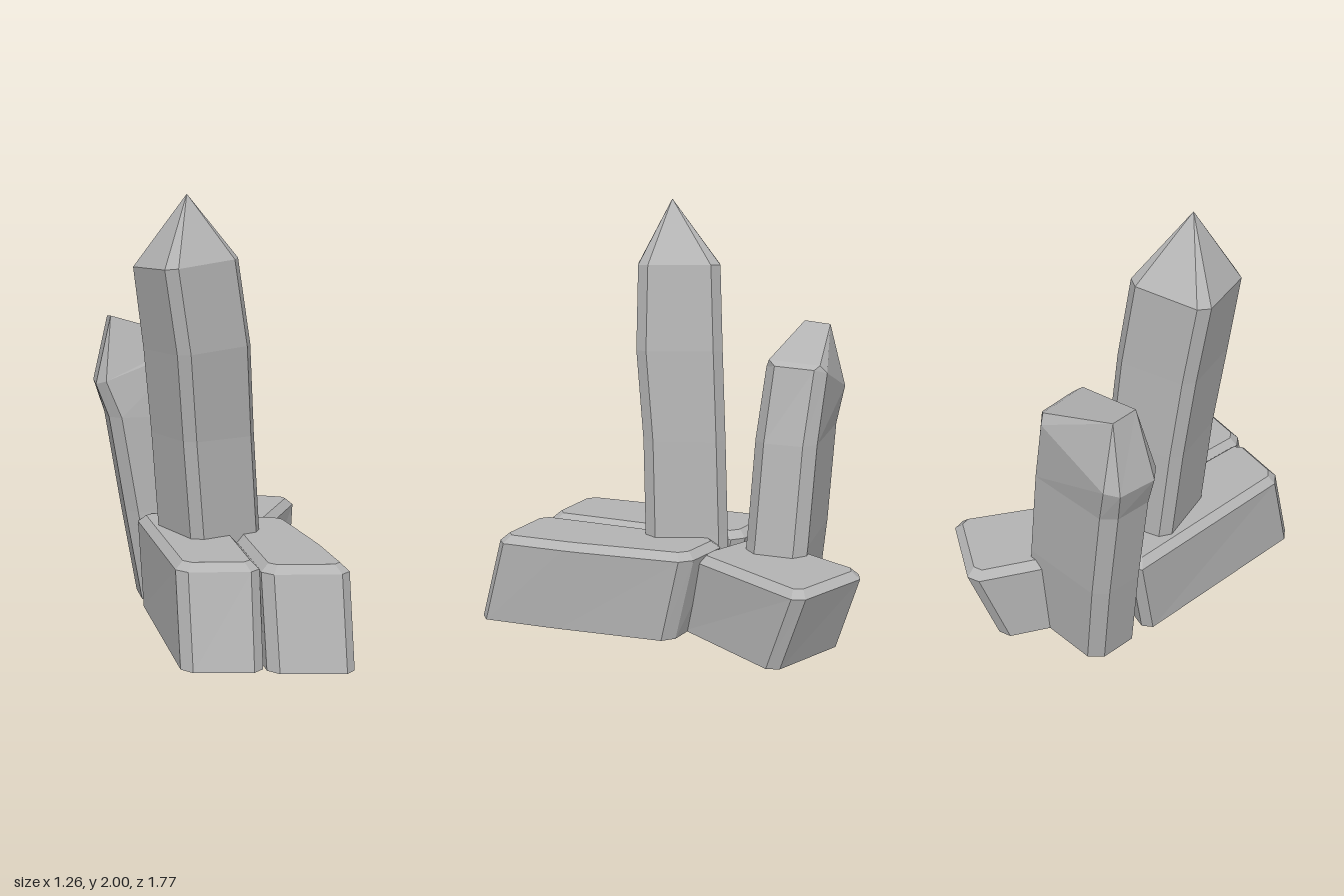
import * as THREE from 'three';

// Cut each corner of a ring of 3D points into two points, c away from the corner
function bevelRing(corners, c) {
  const pts = corners.map((p) => new THREE.Vector3(...p));
  const n = pts.length;
  const toward = (a, b) => {
    const len = a.distanceTo(b);
    return a.clone().lerp(b, len > 0 ? Math.min(c / len, 0.45) : 0);
  };
  return pts.flatMap((p, i) => [toward(p, pts[(i + n - 1) % n]), toward(p, pts[(i + 1) % n])]);
}

// Closed, faceted solid through rings from bottom to top (anticlockwise from above)
function loft(rings) {
  const pos = [];
  const tri = (a, b, c) => {
    const area = b.clone().sub(a).cross(c.clone().sub(a)).length();
    if (area > 1e-7) for (const p of [a, b, c]) pos.push(p.x, p.y, p.z);
  };
  const n = rings[0].length;
  const centre = (ring) => ring.reduce((s, p) => s.add(p), new THREE.Vector3()).divideScalar(n);
  const first = rings[0];
  const last = rings[rings.length - 1];
  const bottom = centre(first);
  const top = centre(last);
  for (let i = 0; i < n; i++) {
    const j = (i + 1) % n;
    for (let k = 0; k < rings.length - 1; k++) {
      const lo = rings[k];
      const hi = rings[k + 1];
      tri(lo[i], lo[j], hi[j]);
      tri(lo[i], hi[j], hi[i]);
    }
    tri(bottom, first[j], first[i]);
    tri(top, last[i], last[j]);
  }
  const geo = new THREE.BufferGeometry();
  geo.setAttribute('position', new THREE.Float32BufferAttribute(pos, 3));
  geo.computeVertexNormals();
  return geo;
}

const atHeight = (plan, y) => plan.map(([x, z]) => [x, y, z]);

// Pull a plan inward along the bisector of its neighbouring edges
function inset(plan, d) {
  const n = plan.length;
  return plan.map((p, i) => {
    const dir = (a, b) => new THREE.Vector2(b[0] - a[0], b[1] - a[1]).normalize();
    const e = dir(plan[(i + n - 1) % n], p);
    const f = dir(p, plan[(i + 1) % n]);
    const m = new THREE.Vector2(e.y + f.y, -e.x - f.x);
    m.multiplyScalar((2 * d) / m.lengthSq());
    return [p[0] + m.x, p[1] + m.y];
  });
}

// Leaning slab with bevelled upright and top edges
function slab(base, shoulder, height, bevel) {
  return loft([
    bevelRing(atHeight(base, 0), bevel),
    bevelRing(atHeight(shoulder, height - 0.035), bevel),
    bevelRing(atHeight(inset(shoulder, 0.035), height), bevel * 0.7),
  ]);
}

export function createModel() {
  const model = new THREE.Group();
  const stone = new THREE.MeshStandardMaterial({ color: 0xb4b4b4, flatShading: true });
  stone.name = 'grey crystal';
  const add = (name, geo) => {
    const mesh = new THREE.Mesh(geo, stone);
    mesh.name = name;
    model.add(mesh);
  };

  // Tall pointed crystal: each row is y, left, right, back, front, tilt of the shoulder
  const tall = [
    [0, -0.29, 0.07, -0.31, 0.09, 0],
    [0.45, -0.35, 0.025, -0.3, 0.1, 0],
    [0.9, -0.39, -0.01, -0.285, 0.11, 0],
    [1.31, -0.435, -0.05, -0.268, 0.143, 0.015],
    [1.695, -0.49, -0.11, -0.255, 0.135, 0.022],
  ].map(([y, l, r, b, f, t]) =>
    bevelRing([[l, y - t, f], [r, y + t, f - 0.01], [r, y + t, b], [l, y - t, b]], 0.045));
  tall.push(bevelRing(Array(4).fill([-0.31, 2, -0.03]), 0));
  add('tallCrystal', loft(tall));

  // Shorter crystal behind, leaning back, with a slanted chisel top
  const plan = [[-0.37, -0.54], [0.125, -0.37], [0.215, -0.65], [-0.28, -0.81]];
  const shifted = (dx, dz) => plan.map(([x, z]) => [x + dx, z + dz]);
  add('backCrystal', loft([
    bevelRing(atHeight(shifted(0.06, 0.05), 0), 0.055),
    bevelRing(atHeight(plan, 0.45), 0.055),
    bevelRing(atHeight(shifted(-0.065, -0.035), 0.92), 0.055),
    bevelRing([[-0.485, 1.08, -0.62], [0.005, 1.275, -0.455], [0.075, 1.26, -0.73], [-0.38, 1.08, -0.885]], 0.05),
    bevelRing([[-0.38, 1.41, -0.67], [-0.02, 1.295, -0.48], [0.04, 1.28, -0.71], [-0.34, 1.4, -0.79]], 0),
  ]));

  // Three fallen slabs forming the base
  add('frontSlab', slab(
    [[-0.345, 0.715], [-0.025, 0.91], [0.085, 0.55], [0.24, -0.03], [-0.01, -0.19], [-0.17, 0.2]],
    [[-0.315, 0.62], [0.015, 0.81], [0.135, 0.44], [0.275, -0.11], [0.03, -0.29], [-0.13, 0.1]],
    0.44, 0.045));
  add('sideSlab', slab(
    [[-0.65, 0.51], [-0.35, 0.69], [-0.17, 0.22], [-0.05, -0.28], [-0.33, -0.47]],
    [[-0.615, 0.41], [-0.305, 0.59], [-0.13, 0.1], [-0.02, -0.36], [-0.315, -0.55]],
    0.445, 0.045));
  add('backSlab', slab(
    [[0.07, -0.07], [0.56, -0.49], [0.25, -0.83], [-0.22, -0.36]],
    [[0.15, -0.13], [0.65, -0.59], [0.34, -0.92], [-0.13, -0.45]],
    0.405, 0.045));

  return model;
}
